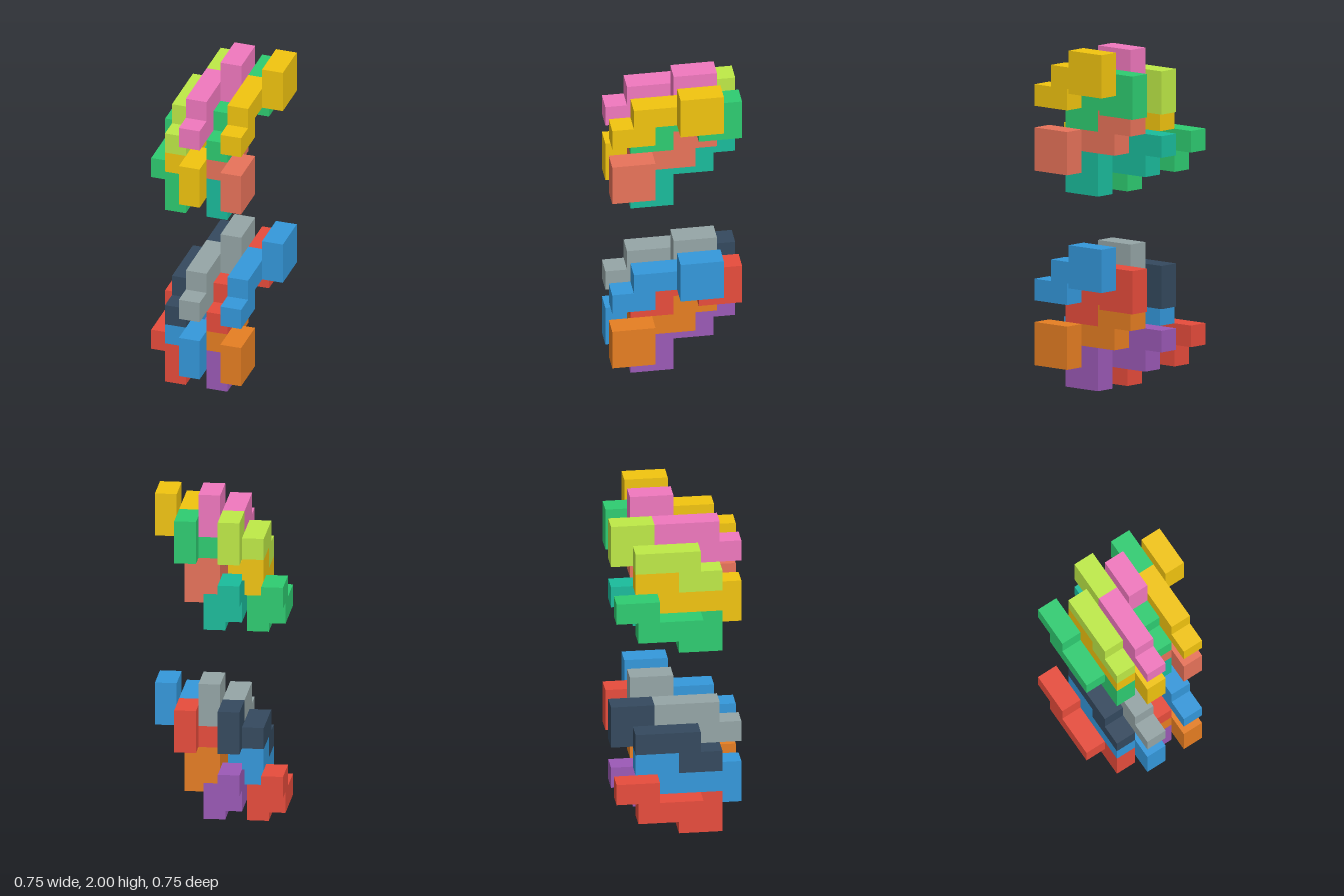
import * as THREE from 'three';

const U = 0.125; // edge of one cube cell

// Square end block: one cell thick, two by two cells
const blockGeometry = new THREE.BoxGeometry(U, 2 * U, 2 * U).translate(U / 2, 0, 0);

// Stepped arm beside the block, outlined as (z, y) and one cell thick towards -x
const outline = [[0, 0], [0, -1], [2, -1], [2, -2], [4, -2], [4, -1], [3, -1], [3, 0]];
const armGeometry = new THREE.ExtrudeGeometry(
  new THREE.Shape(outline.map(([z, y]) => new THREE.Vector2(z * U, y * U))),
  { depth: U, bevelEnabled: false }
).rotateY(-Math.PI / 2);

// The four interlocking places of a half burr, in cells; flipped ones turn over about x
const places = [
  { name: 'upperOuterPiece', at: [2, 6, -1], flip: false },
  { name: 'upperInnerPiece', at: [1, 5, -2], flip: false },
  { name: 'lowerOuterPiece', at: [1, 2, 2], flip: true },
  { name: 'lowerInnerPiece', at: [0, 1, 1], flip: true },
];

// Colours per cluster: left half, then right half, in the order of places
const clusters = [
  { name: 'lowerCluster', y: 0, colors: [
    [0x3498db, 0xe74c3c, 0xe67e22, 0x9b59b6],
    [0x95a5a6, 0x34495e, 0x3498db, 0xe74c3c]] },
  { name: 'upperCluster', y: 9, colors: [
    [0xf1c40f, 0x2ecc71, 0xe8735a, 0x1abc9c],
    [0xf078be, 0xbeea47, 0xf1c40f, 0x2ecc71]] },
];

function makePiece(name, color, flip) {
  const piece = new THREE.Group();
  piece.name = name;
  const material = new THREE.MeshStandardMaterial({ color });
  const block = new THREE.Mesh(blockGeometry, material);
  block.name = 'endBlock';
  const arm = new THREE.Mesh(armGeometry, material);
  arm.name = 'steppedArm';
  piece.add(block, arm);
  if (flip) piece.rotation.x = Math.PI;
  return piece;
}

export function createModel() {
  const model = new THREE.Group();
  model.name = 'puzzlePieces';
  for (const { name, y, colors } of clusters) {
    const cluster = new THREE.Group();
    cluster.name = name;
    cluster.position.y = y * U;
    // Second half repeats the first, two cells further right
    colors.forEach((half, h) => places.forEach((place, i) => {
      const piece = makePiece(place.name, half[i], place.flip);
      const [px, py, pz] = place.at;
      piece.position.set((px - 2 * h) * U, py * U, pz * U);
      cluster.add(piece);
    }));
    model.add(cluster);
  }
  return model;
}
